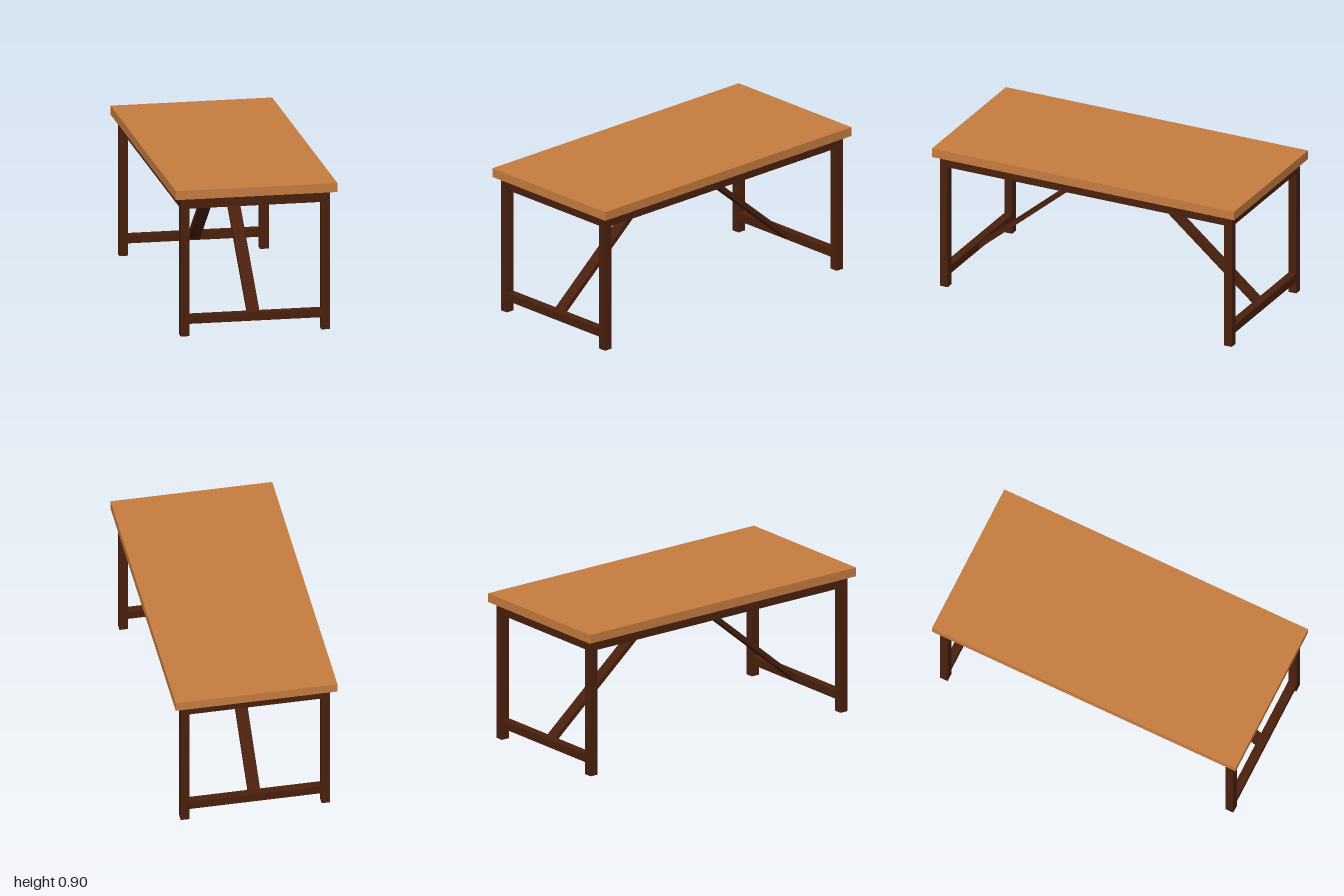
import * as THREE from 'three';

export function createModel() {
  const model = new THREE.Group();
  model.name = 'trestleTable';
  const topWood = new THREE.MeshStandardMaterial({ color: 0xc87d40 });
  topWood.name = 'light oak';
  const frameWood = new THREE.MeshStandardMaterial({ color: 0x4a200d });
  frameWood.name = 'dark walnut';

  const add = (name, geometry, material, x = 0, y = 0, z = 0) => {
    const mesh = new THREE.Mesh(geometry, material);
    mesh.name = name;
    mesh.position.set(x, y, z);
    model.add(mesh);
    return mesh;
  };
  const box = (name, w, h, d, x, y, z, material = frameWood) =>
    add(name, new THREE.BoxGeometry(w, h, d), material, x, y, z);

  const topBase = 0.845, apronBase = 0.78, beam = 0.052;
  const legX = 0.424, legZ = 0.94;

  // Table top
  box('tableTop', 0.974, 0.9 - topBase, 2, 0, (0.9 + topBase) / 2, 0, topWood);

  // Legs
  for (const sx of [-1, 1])
    for (const sz of [-1, 1])
      box('leg', beam, topBase, beam, sx * legX, topBase / 2, sz * legZ);

  // Aprons under the top and low stretchers at both ends
  const apronH = topBase - apronBase, apronY = (topBase + apronBase) / 2;
  for (const s of [-1, 1]) {
    box('sideApron', beam, apronH, 2 * legZ - beam, s * legX, apronY, 0);
    box('endApron', 2 * legX - beam, apronH, beam, 0, apronY, s * legZ);
    box('stretcher', 2 * legX - beam, 0.05, beam, 0, 0.1, s * legZ);
  }

  // Diagonal braces, from each stretcher up to the middle of the top
  const profile = new THREE.Shape([
    new THREE.Vector2(0.005, topBase),
    new THREE.Vector2(0.92, 0.077),
    new THREE.Vector2(0.92, 0.112),
    new THREE.Vector2(0.048, topBase),
  ]);
  const braceGeometry = new THREE.ExtrudeGeometry(profile, { depth: 0.073, bevelEnabled: false });
  braceGeometry.translate(0, 0, -0.0365).rotateY(-Math.PI / 2);
  for (const turn of [0, Math.PI])
    add('brace', braceGeometry, frameWood, -0.002).rotation.y = turn;

  return model;
}
